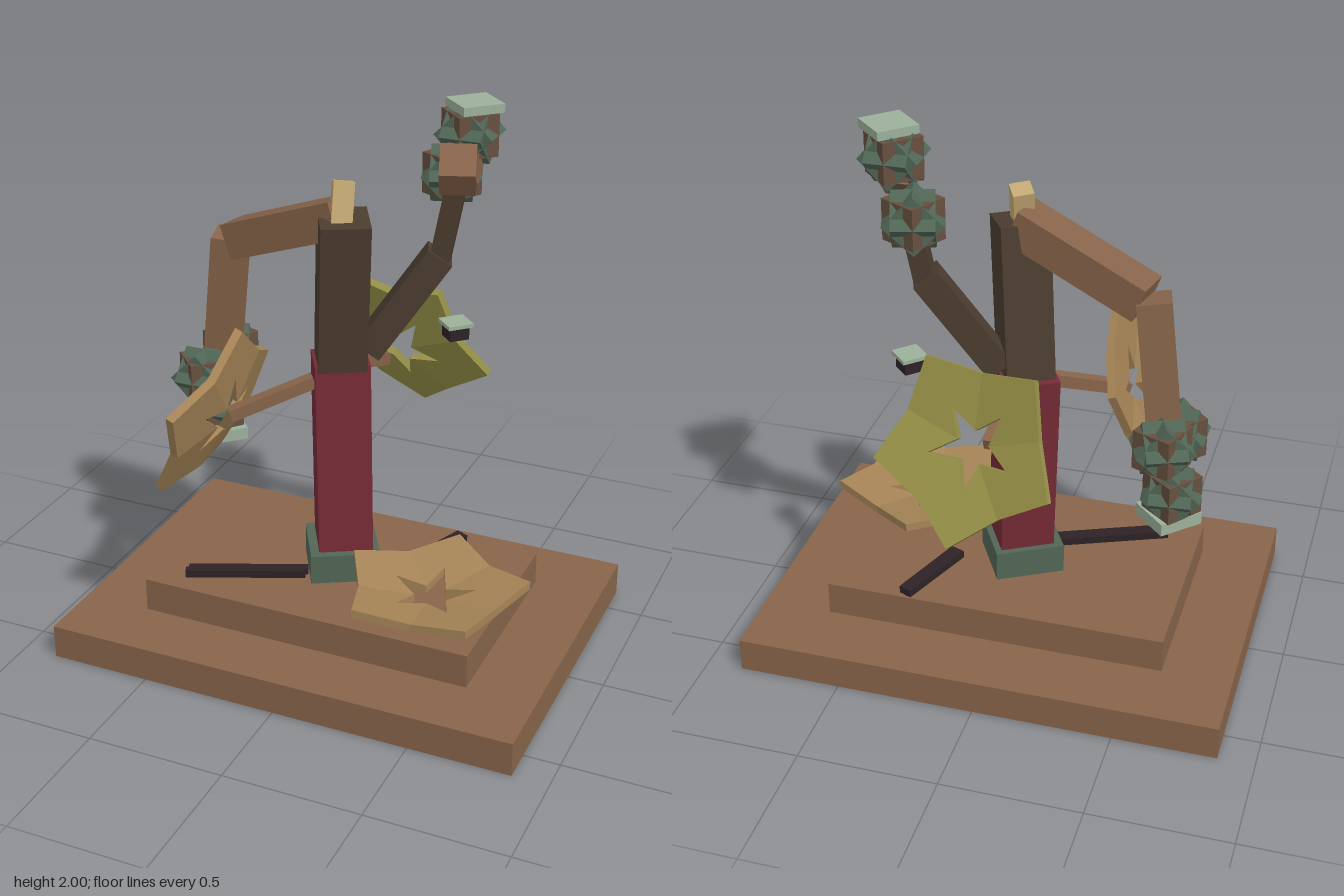
import * as THREE from 'three';

const V = (a) => new THREE.Vector3(...a);

function makeMaterials() {
  const colors = {
    wood: 0x87644a, trunkRed: 0x752b36, bark: 0x4b3c2f, petalTan: 0xa58456, knobTan: 0xc4a873,
    petalOlive: 0x959047, leafGreen: 0x516656, leafBrown: 0x66503f, paleGreen: 0x9cb09a, charcoal: 0x2d2225,
  };
  const mats = {};
  for (const [name, color] of Object.entries(colors)) {
    mats[name] = new THREE.MeshStandardMaterial({ color });
    mats[name].name = name;
    mats[name].flatShading = true;
  }
  return mats;
}

// Five folded, planar petals round a star-shaped opening; local +y is the open side, +x a petal tip
function flowerGeometry() {
  const thick = 0.03, rise = 0.2, step = Math.PI / 5, pos = [];
  const point = (r, i, side) => {
    const along = i % 2 ? r * Math.cos(step) : r;
    return [r * Math.cos(i * step), along * rise + side * thick / 2, -r * Math.sin(i * step)];
  };
  const quad = (a, b, c, d) => pos.push(...a, ...b, ...c, ...a, ...c, ...d);
  const inner = (i, s) => point(i % 2 ? 0.06 : 0.155, i, s);
  const outer = (i, s) => point(i % 2 ? 0.255 : 0.34, i, s);
  for (let i = 0; i < 10; i++) {
    const j = i + 1;
    quad(inner(i, 1), outer(i, 1), outer(j, 1), inner(j, 1));
    quad(inner(j, -1), outer(j, -1), outer(i, -1), inner(i, -1));
    quad(outer(i, -1), outer(j, -1), outer(j, 1), outer(i, 1));
    quad(inner(j, -1), inner(i, -1), inner(i, 1), inner(j, 1));
  }
  const geo = new THREE.BufferGeometry();
  geo.setAttribute('position', new THREE.Float32BufferAttribute(pos, 3));
  geo.computeVertexNormals();
  return geo;
}

export function createModel() {
  const model = new THREE.Group();
  model.name = 'sculptedTree';
  const m = makeMaterials();

  const block = (name, mat, size, at, yaw = 0) => {
    const mesh = new THREE.Mesh(new THREE.BoxGeometry(...size), mat);
    mesh.name = name;
    mesh.position.set(...at);
    mesh.rotation.y = yaw;
    model.add(mesh);
    return mesh;
  };

  // Square bar running from one point to another
  const limb = (name, mat, from, to, width, yaw = null) => {
    const a = V(from), b = V(to), y = b.clone().sub(a), len = y.length();
    y.normalize();
    const ref = yaw === null ? new THREE.Vector3(0, 1, 0).cross(y)
      : new THREE.Vector3(Math.cos(yaw), 0, -Math.sin(yaw));
    const x = ref.addScaledVector(y, -ref.dot(y)).normalize();
    const z = x.clone().cross(y);
    const mesh = new THREE.Mesh(new THREE.BoxGeometry(width, len, width), mat);
    mesh.name = name;
    mesh.quaternion.setFromRotationMatrix(new THREE.Matrix4().makeBasis(x, y, z));
    mesh.position.copy(a.add(b).multiplyScalar(0.5));
    model.add(mesh);
  };

  // Stepped plinth with the trunk footing
  block('plinthLower', m.wood, [1.74, 0.125, 1.24], [0, 0.0625, 0]);
  block('plinthUpper', m.wood, [1.24, 0.125, 0.75], [0, 0.1875, 0.005]);
  const yaw = 0.51;
  block('footing', m.leafGreen, [0.25, 0.11, 0.25], [-0.01, 0.305, -0.005], yaw);

  // Dark bars lying on the plinth
  limb('groundBar', m.charcoal, [-0.1, 0.264, 0.1], [-0.5, 0.264, 0.27], 0.028);
  limb('groundBar', m.charcoal, [-0.1, 0.264, 0.126], [-0.5, 0.264, 0.296], 0.028);
  limb('groundBar', m.charcoal, [0.21, 0.264, -0.07], [0.32, 0.264, -0.36], 0.028);
  limb('groundBar', m.charcoal, [0.235, 0.264, -0.06], [0.34, 0.264, -0.35], 0.028);

  // Trunk
  limb('trunkLower', m.trunkRed, [-0.007, 0.35, -0.01], [-0.035, 1.065, -0.045], 0.195, yaw);
  limb('trunkUpper', m.bark, [-0.03, 1.04, -0.035], [0.007, 1.61, 0.02], 0.172, yaw);
  limb('trunkKnob', m.knobTan, [0, 1.59, 0.03], [-0.006, 1.73, -0.008], 0.072, yaw);

  // Drooping branch on the right
  limb('droopBranchUpper', m.wood, [0.0, 1.61, 0.0], [-0.46, 1.43, -0.1], 0.13);
  limb('droopBranchLower', m.wood, [-0.485, 1.44, -0.105], [-0.54, 1.0, -0.13], 0.12, 0.23);

  // Raised branch on the left with its bent end
  limb('raisedBranchLower', m.bark, [0.05, 1.1, -0.09], [0.28, 1.455, -0.178], 0.1);
  limb('raisedBranchUpper', m.bark, [0.28, 1.43, -0.175], [0.36, 1.86, -0.19], 0.068);
  limb('elbowBack', m.wood, [0.365, 1.76, -0.19], [0.37, 1.85, -0.1], 0.1);
  limb('elbowFront', m.wood, [0.37, 1.85, -0.09], [0.4, 1.77, 0.0], 0.12);

  // Leaf clusters: three cubes, each turned 45 degrees about its own axis
  const cube = new THREE.BoxGeometry(0.145, 0.145, 0.145);
  const q = Math.PI / 4;
  const turns = [[m.leafGreen, [q, 0, 0]], [m.leafBrown, [0, q, 0]], [m.leafGreen, [0, 0, q]]];
  const clusters = [
    [[0.365, 1.89, -0.205], 0], [[0.275, 1.71, -0.29], 0.3],
    [[-0.555, 0.94, -0.21], 0.4], [[-0.575, 0.9, -0.04], 0], [[-0.585, 0.73, -0.15], 0.1],
  ];
  for (const [at, turn] of clusters) {
    const cluster = new THREE.Group();
    cluster.name = 'leafCluster';
    for (const [mat, rot] of turns) {
      const leaf = new THREE.Mesh(cube, mat);
      leaf.name = 'leafCube';
      leaf.rotation.set(...rot);
      cluster.add(leaf);
    }
    cluster.position.set(...at);
    cluster.rotation.y = turn;
    model.add(cluster);
  }

  // Pale caps on the clusters
  block('topCap', m.paleGreen, [0.148, 0.03, 0.148], [0.38, 1.985, -0.205], q);
  block('hangingCap', m.paleGreen, [0.165, 0.045, 0.165], [-0.575, 0.637, -0.145], q);

  // Small floating bud
  block('bud', m.charcoal, [0.072, 0.05, 0.072], [0.32, 1.15, -0.245], q);
  block('budCap', m.paleGreen, [0.094, 0.014, 0.094], [0.32, 1.18, -0.245], q);

  // Flowers and stems
  const petals = flowerGeometry();
  const flower = (name, mat, center, facing, tip) => {
    const y = V(facing).normalize(), x = V(tip);
    x.addScaledVector(y, -x.dot(y)).normalize();
    const mesh = new THREE.Mesh(petals, mat);
    mesh.name = name;
    mesh.quaternion.setFromRotationMatrix(new THREE.Matrix4().makeBasis(x, y, x.clone().cross(y)));
    mesh.position.set(...center);
    model.add(mesh);
  };
  flower('groundFlower', m.petalTan, [0.42, 0.318, 0.2], [0, 1, 0], [-0.07, 0, -1]);
  flower('backFlower', m.petalOlive, [0.036, 0.965, -0.425], [0.15, 0.42, -0.89], [0.025, -0.32, -0.14]);
  flower('sideFlower', m.petalTan, [-0.345, 0.9, 0.235], [-0.93, 0.37, -0.05], [0.07, 0.325, 0.01]);
  limb('backStem', m.wood, [0, 1.02, -0.14], [0.005, 0.94, -0.36], 0.045);
  limb('sideStem', m.wood, [-0.1, 1.0, 0.04], [-0.34, 0.9, 0.22], 0.045);

  return model;
}
